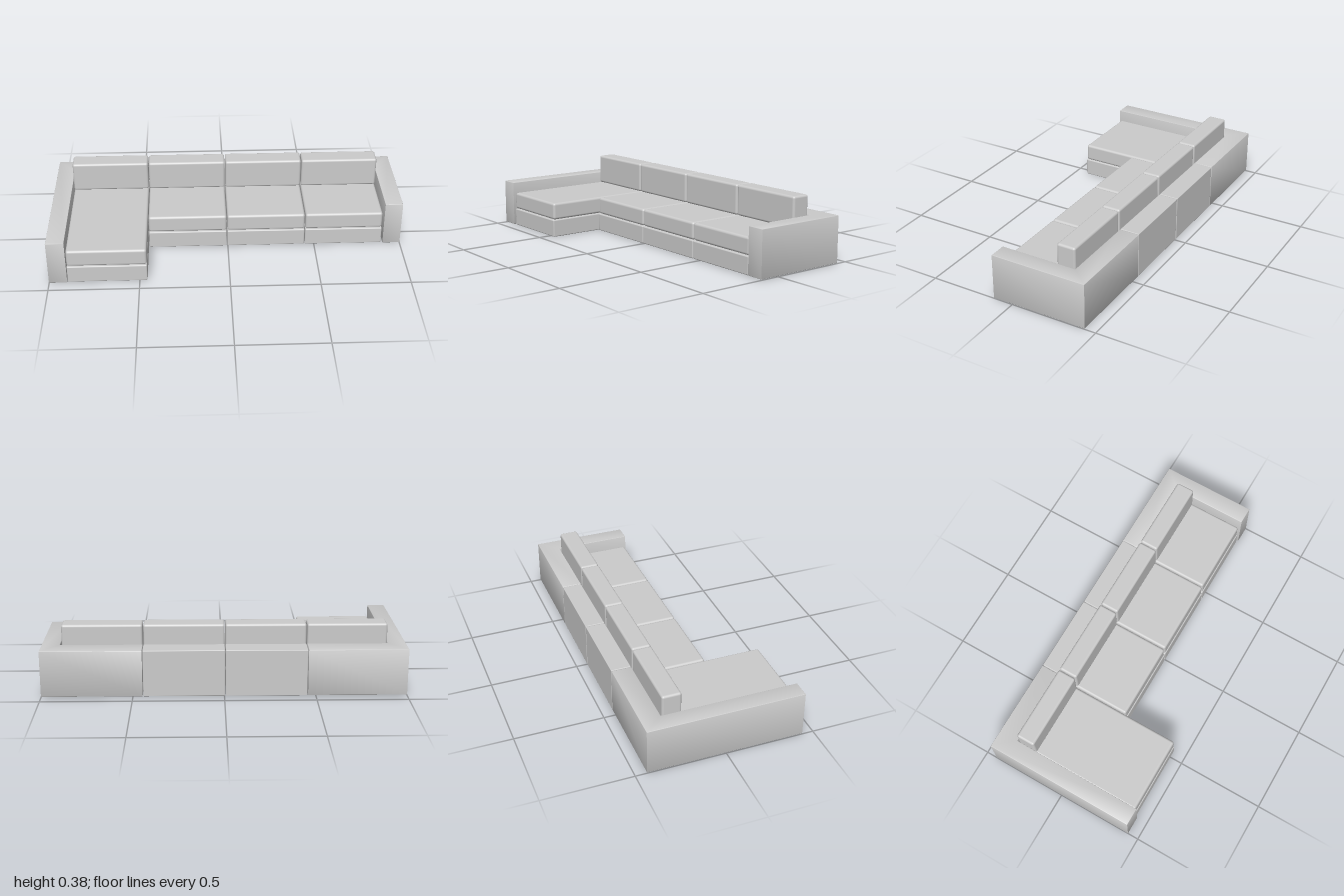
import * as THREE from 'three';
import { RoundedBoxGeometry } from 'three/addons/geometries/RoundedBoxGeometry.js';
import { toCreasedNormals } from 'three/addons/utils/BufferGeometryUtils.js';

const material = new THREE.MeshStandardMaterial({ color: 0xcccccc });
const BACK = -0.437, BACK_FRONT = -0.325, FRAME_BOTTOM = 0.003, FRAME_TOP = 0.265;
const SEAMS = [-0.9, -0.455, -0.005, 0.445, 0.893]; // edges of the four seats

// Rounded box given by its limits on each axis
function block(name, [x0, x1], [y0, y1], [z0, z1], radius) {
  const mesh = new THREE.Mesh(new RoundedBoxGeometry(x1 - x0, y1 - y0, z1 - z0, 3, radius), material);
  mesh.position.set((x0 + x1) / 2, (y0 + y1) / 2, (z0 + z1) / 2);
  mesh.name = name;
  return mesh;
}

// Arm and back panel in one L-shaped piece, drawn in plan and extruded upwards
function cornerFrame(name, side, innerX, armFront) {
  const plan = [
    [side, BACK], [innerX, BACK], [innerX, BACK_FRONT],
    [side * 0.9, BACK_FRONT], [side * 0.9, armFront], [side, armFront],
  ].map(([x, z]) => new THREE.Vector2(x, -z));
  const b = 0.003;
  const geometry = new THREE.ExtrudeGeometry(new THREE.Shape(plan), {
    depth: FRAME_TOP - FRAME_BOTTOM - 2 * b,
    bevelSize: b, bevelThickness: b, bevelOffset: -b, bevelSegments: 2,
  });
  geometry.rotateX(-Math.PI / 2).translate(0, FRAME_BOTTOM + b, 0);
  const mesh = new THREE.Mesh(toCreasedNormals(geometry, 0.9), material);
  mesh.name = name;
  return mesh;
}

export function createModel() {
  const sofa = new THREE.Group();
  sofa.name = 'cornerSofa';

  // Outer frame: two corner pieces and two plain back panels
  sofa.add(cornerFrame('rightArmAndBack', -1, SEAMS[1] - 0.002, 0.437));
  sofa.add(cornerFrame('leftArmAndBack', 1, SEAMS[3] + 0.002, 0.115));
  for (const i of [1, 2]) {
    sofa.add(block('backPanel', [SEAMS[i] + 0.002, SEAMS[i + 1] - 0.002],
      [FRAME_BOTTOM, FRAME_TOP], [BACK, BACK_FRONT], 0.004));
  }

  // Four seats, the first a long chaise
  for (let i = 0; i < 4; i++) {
    const x = [SEAMS[i] + 0.002, SEAMS[i + 1] - 0.002];
    const front = i === 0 ? 0.427 : 0.107;
    const unit = new THREE.Group();
    unit.name = i === 0 ? 'chaiseUnit' : 'seatUnit';
    unit.add(
      block('base', x, [0, 0.101], [-0.318, front], 0.006),
      block('seatCushion', x, [0.103, 0.201], [-0.318, front - 0.003], 0.014),
      block('backCushion', x, [0.201, 0.375], [-0.318, -0.21], 0.013),
    );
    sofa.add(unit);
  }
  return sofa;
}
